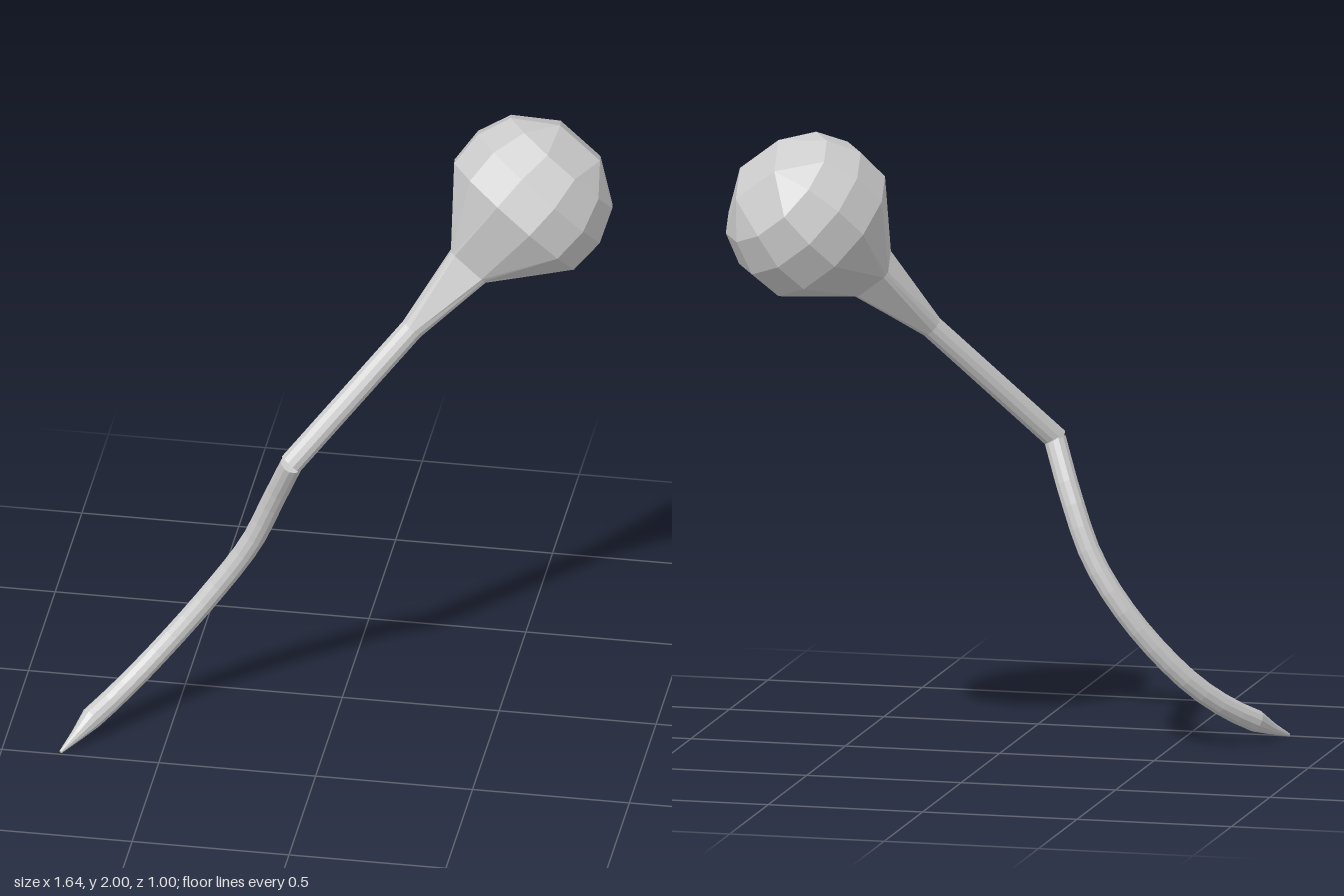
import * as THREE from 'three';

const SIDES = 12;
const CORNER = THREE.MathUtils.degToRad(35);
const V = (x, y, z) => new THREE.Vector3(x, y, z);

// One cross-section: snap 0 is round, snap 1 gathers the points into a square.
function ring(center, dir, radius, snap = 0) {
  const u = V(0, 0, 1).cross(dir).normalize();
  const v = dir.clone().cross(u).normalize();
  const pts = [];
  for (let j = 0; j < SIDES; j++) {
    const offset = ((j % 3) - 1) * (Math.PI / 6) * (1 - snap);
    const a = CORNER + Math.floor(j / 3) * (Math.PI / 2) + offset;
    pts.push(center.clone()
      .addScaledVector(u, Math.cos(a) * radius)
      .addScaledVector(v, Math.sin(a) * radius));
  }
  return pts;
}

// Joins consecutive cross-sections and closes both ends.
function loft(name, rings, material) {
  const pos = [];
  const tri = (...p) => p.forEach((q) => pos.push(q.x, q.y, q.z));
  const middle = (r) => r.reduce((s, p) => s.add(p), V(0, 0, 0)).divideScalar(SIDES);
  const first = rings[0], last = rings[rings.length - 1];
  const start = middle(first), end = middle(last);
  for (let j = 0; j < SIDES; j++) {
    const k = (j + 1) % SIDES;
    for (let i = 0; i + 1 < rings.length; i++) {
      const a = rings[i], b = rings[i + 1];
      tri(a[j], a[k], b[k]);
      tri(a[j], b[k], b[j]);
    }
    tri(start, first[k], first[j]);
    tri(end, last[j], last[k]);
  }
  const geo = new THREE.BufferGeometry();
  geo.setAttribute('position', new THREE.Float32BufferAttribute(pos, 3));
  geo.computeVertexNormals();
  const mesh = new THREE.Mesh(geo, material);
  mesh.name = name;
  return mesh;
}

export function createModel() {
  const group = new THREE.Group();
  group.name = 'bulbWithTail';
  const material = new THREE.MeshStandardMaterial({ color: 0xcccccc, flatShading: true });

  const bend = V(-0.125, 0.97, 0.235);
  const bulb = V(0.555, 1.735, -0.235);
  const axis = bulb.clone().sub(bend).normalize();
  const reach = bulb.distanceTo(bend);
  const at = (t) => bend.clone().addScaledVector(axis, t);

  // Straight stem flaring through a square neck
  const neck = ring(at(0.84), axis, 0.092, 0.75);
  const stem = [
    ring(at(0), axis, 0.038),
    ring(at(0.573), axis, 0.038),
    neck,
  ];
  group.add(loft('stem', stem, material));

  // Faceted ball, closed by a square patch at the crown
  const R = 0.27;
  const ball = [neck];
  for (const [polar, snap] of [[105, 0], [80, 0], [55, 0], [26, 1]]) {
    const p = THREE.MathUtils.degToRad(polar);
    ball.push(ring(at(reach + R * Math.cos(p)), axis, R * Math.sin(p), snap));
  }
  group.add(loft('bulb', ball, material));

  // Curved tail, from its lower end up to the bend
  const path = new THREE.CatmullRomCurve3([
    V(-0.735, 0.07, 0.375), V(-0.66, 0.125, 0.295), V(-0.55, 0.23, 0.205),
    V(-0.39, 0.425, 0.135), V(-0.27, 0.61, 0.13), V(-0.19, 0.80, 0.165),
    V(-0.122, 0.97, 0.23),
  ]);
  const tipDir = V(0.08, 0.065, -0.12).normalize();
  const tail = [
    ring(V(-0.814, 0.006, 0.494), tipDir, 0.005),
    ring(V(-0.772, 0.037, 0.432), tipDir, 0.02),
  ];
  const steps = 16;
  for (let i = 0; i <= steps; i++) {
    const t = i / steps;
    tail.push(ring(path.getPointAt(t), path.getTangentAt(t), 0.036));
  }
  group.add(loft('tail', tail, material));

  return group;
}
